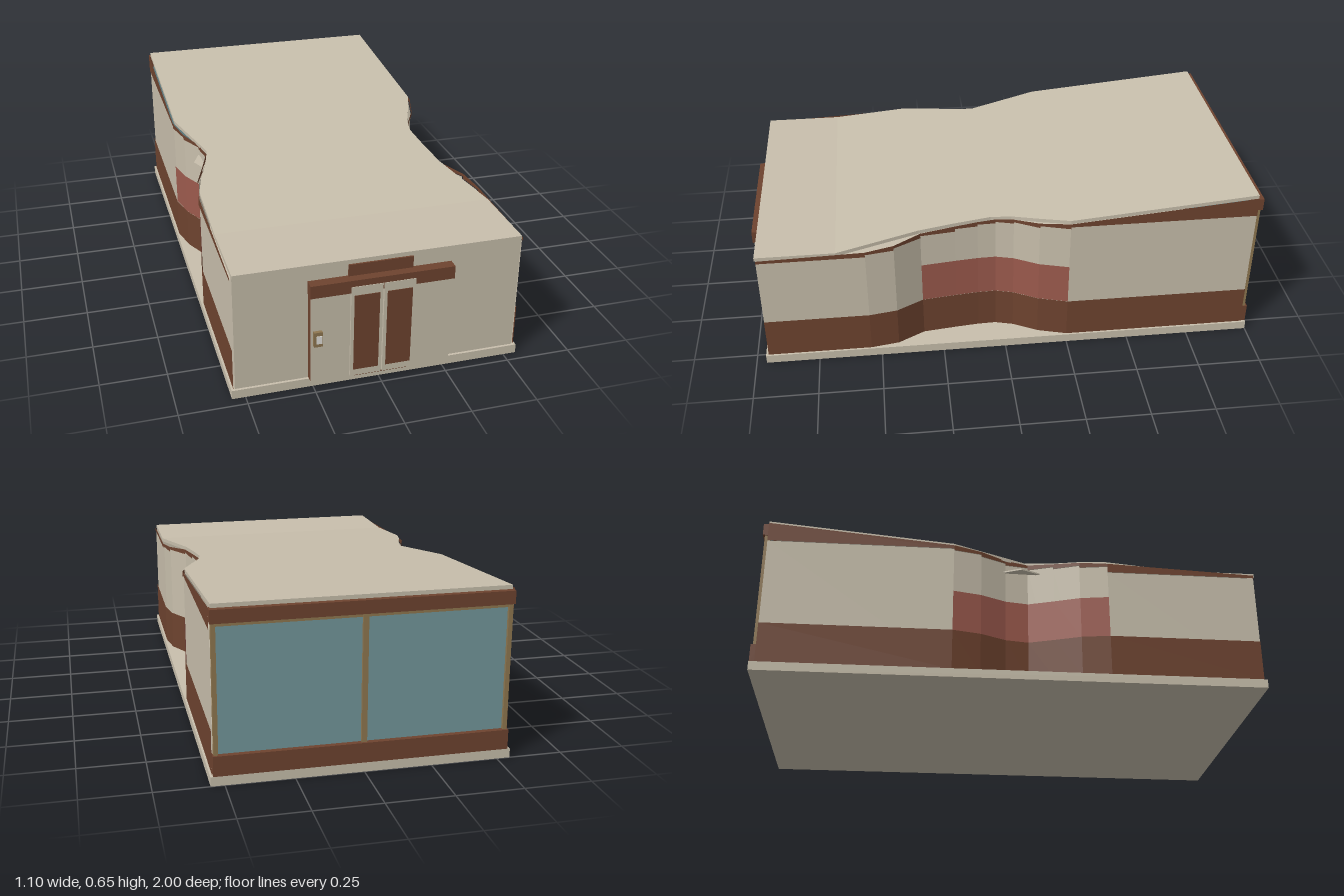
import * as THREE from 'three';

const mat = (name, color, side = THREE.FrontSide) => {
  const m = new THREE.MeshStandardMaterial({ color, side });
  m.name = name;
  return m;
};

export function createModel() {
  const group = new THREE.Group();
  const cream = mat('cream', 0xc8bfac, THREE.DoubleSide);
  const brown = mat('brown', 0x6e432f, THREE.DoubleSide);
  const red = mat('brick red', 0x9c5a4d, THREE.DoubleSide);
  const glass = mat('glass', 0x73979c);
  const bronze = mat('bronze', 0x8f7750);
  const white = mat('white', 0xe4e2dc);

  const add = (name, geometry, material) => {
    const m = new THREE.Mesh(geometry, material);
    m.name = name;
    group.add(m);
    return m;
  };
  // Box given by its limits on each axis
  const box = (name, x0, x1, y0, y1, z0, z1, material) => {
    const g = new THREE.BoxGeometry(x1 - x0, y1 - y0, z1 - z0);
    g.translate((x0 + x1) / 2, (y0 + y1) / 2, (z0 + z1) / 2);
    return add(name, g, material);
  };
  const THICK = 0.015;
  const roofTop = z => 0.505 + Math.max(0, 0.65 - z) * 0.145 / 1.63;
  const under = z => roofTop(z) - THICK;

  // Upright faceted band along a plan path of [x, z] points
  const band = (name, path, low, high, material, offset = 0) => {
    const pos = [];
    for (let i = 0; i + 1 < path.length; i++) {
      const [[xa, za], [xb, zb]] = [path[i], path[i + 1]];
      const o = offset * Math.sign(xa);
      const a = [xa + o, low(za, i), za], b = [xb + o, low(zb, i), zb];
      const c = [xb + o, high(zb, i), zb], d = [xa + o, high(za, i), za];
      pos.push(...(xa > 0 ? [a, b, c, a, c, d] : [a, c, b, a, d, c]).flat());
    }
    const g = new THREE.BufferGeometry();
    g.setAttribute('position', new THREE.Float32BufferAttribute(pos, 3));
    g.computeVertexNormals();
    add(name, g, material);
  };

  // Floor slab
  box('floorSlab', -0.55, 0.55, 0, 0.035, -1, 0.96, cream);

  // Side walls, each pinched inward along its length
  const leftPath = [[0.538, 0.95], [0.538, 0.54], [0.52, 0.43], [0.463, 0.325], [0.447, 0.19],
    [0.438, 0.1], [0.436, 0.03], [0.455, -0.04], [0.505, -0.135], [0.538, -0.25], [0.538, -0.98]];
  const rightPath = [[-0.538, 0.95], [-0.538, 0.36], [-0.52, 0.25], [-0.484, 0.15], [-0.45, 0.05],
    [-0.465, -0.04], [-0.512, -0.14], [-0.538, -0.25], [-0.538, -0.98]];
  const sides = [['left', leftPath, 3, 10], ['right', rightPath, 1, 8]];
  for (const [side, path, from, to] of sides) {
    const mid = path.slice(from, to);
    const step = (z, i) => {
      const front = path[i][1], back = path[i + 1][1];
      return back < -0.9 ? 0.56 : Math.min(under(front), under(back)) - 0.008;
    };
    band(side + 'Wall', path, () => 0.03, step, cream);
    band(side + 'Plinth', path, () => 0.035, () => 0.2, brown, 0.004);
    band(side + 'RedPanel', mid, () => 0.2, () => 0.37, red, 0.003);
    band(side + 'Fascia', path, step, z => under(z) + 0.004, brown, 0.004);
  }

  // Roof: level front strip and pinched sloping part
  box('roofFront', -0.535, 0.535, 0.49, 0.505, 0.65, 0.955, cream);
  const plan = [[0.535, 0.65], [0.46, 0.33], [0.445, 0.19], [0.435, 0.05], [0.45, -0.03], [0.49, -0.13],
    [0.535, -0.25], [0.535, -0.98], [-0.535, -0.98], [-0.535, -0.25], [-0.475, -0.05], [-0.448, 0.04],
    [-0.475, 0.15], [-0.51, 0.25], [-0.535, 0.35], [-0.535, 0.65]];
  const shape = new THREE.Shape(plan.map(([x, z]) => new THREE.Vector2(x, -z)));
  const roof = new THREE.ExtrudeGeometry(shape, { depth: THICK, bevelEnabled: false });
  roof.rotateX(-Math.PI / 2);
  const p = roof.attributes.position;
  for (let i = 0; i < p.count; i++) p.setY(i, p.getY(i) + under(p.getZ(i)));
  roof.computeVertexNormals();
  add('roofSlope', roof, cream);

  // Small triangular ledge in the right-hand hollow
  const tri = new THREE.Shape([[-0.465, 0.06], [-0.5, -0.02], [-0.46, -0.11]].map(q => new THREE.Vector2(...q)));
  const ledge = new THREE.ExtrudeGeometry(tri, { depth: 0.006, bevelEnabled: false });
  ledge.rotateX(-Math.PI / 2);
  ledge.translate(0, 0.5, 0);
  add('sideLedge', ledge, cream);

  // Front wall and entrance surround
  box('frontWall', -0.535, 0.535, 0.035, 0.49, 0.93, 0.95, cream);
  box('entranceSign', -0.12, 0.12, 0.44, 0.485, 0.945, 0.957, brown);
  box('entranceHeader', -0.267, 0.267, 0.39, 0.44, 0.95, 0.99, brown);
  for (const s of [-1, 1]) {
    const span = (name, a, b, ...rest) => box(name, Math.min(s * a, s * b), Math.max(s * a, s * b), ...rest);
    span('surroundBacking', 0.12, 0.265, 0.036, 0.39, 0.95, 0.978, brown);
    span('surroundPanel', 0.12, 0.264, 0.038, 0.39, 0.978, 0.984, cream);
    span('door', 0.002, 0.12, 0.042, 0.415, 0.95, 0.992, cream);
    span('doorPanel', 0.014, 0.108, 0.068, 0.38, 0.992, 0.994, brown);
    span('backPost', 0.52, 0.536, 0.11, 0.59, -0.992, -0.97, bronze);
  }
  box('doorSill', -0.1, 0.1, 0.035, 0.042, 0.95, 0.985, brown);
  box('keypad', -0.256, -0.224, 0.192, 0.252, 0.984, 0.997, bronze);
  box('keypadScreen', -0.248, -0.227, 0.206, 0.237, 0.997, 1, white);

  // Glazed back wall
  box('backGlass', -0.53, 0.53, 0.1, 0.6, -0.98, -0.965, glass);
  box('backSill', -0.54, 0.54, 0.035, 0.11, -1, -0.965, brown);
  box('backHeader', -0.54, 0.54, 0.585, 0.634, -1, -0.965, brown);
  box('backMullion', -0.01, 0.01, 0.11, 0.585, -0.992, -0.97, bronze);
  box('backTopRail', -0.52, 0.52, 0.572, 0.585, -0.988, -0.97, bronze);

  return group;
}
